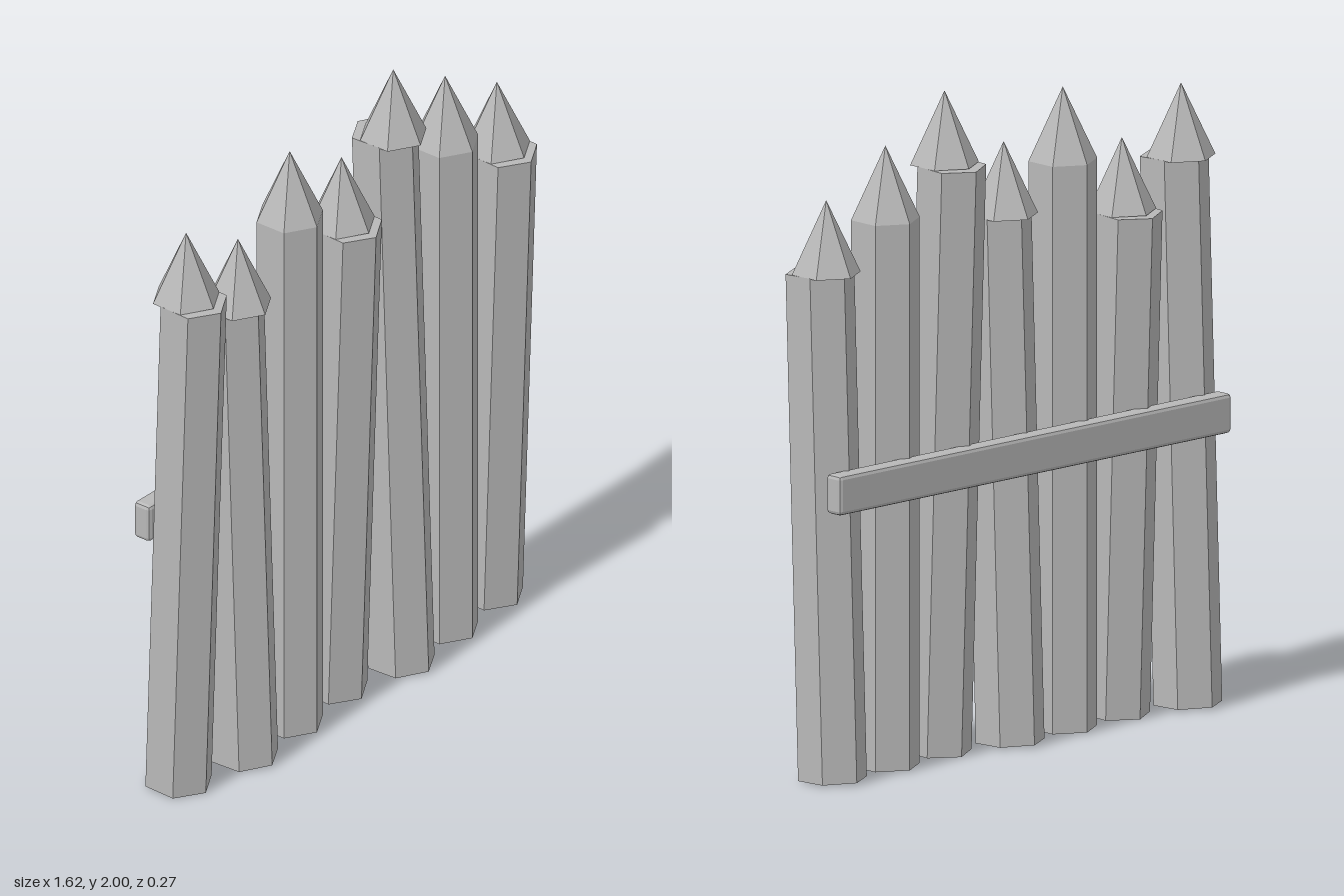
import * as THREE from 'three';
import { RoundedBoxGeometry } from 'three/addons/geometries/RoundedBoxGeometry.js';

const RADIUS = 0.104, TIP_HEIGHT = 0.22, SPACING = 0.24, LEAN = 0.035, GROUND_GAP = 0.004;

export function createModel() {
  const group = new THREE.Group();
  group.name = 'palisadeFence';
  const grey = new THREE.MeshStandardMaterial({ color: 0xb8b8b8, flatShading: true });
  grey.name = 'grey';

  const add = (name, geometry, x, y, z) => {
    const mesh = new THREE.Mesh(geometry, grey);
    mesh.name = name;
    mesh.position.set(x, y, z);
    group.add(mesh);
    return mesh;
  };

  // Six-sided stakes: each leans forward, back or not at all about its middle
  const shoulderHeights = [1.652, 1.525, 1.716, 1.589, 1.78, 1.652, 1.525];
  const leans = [1, -1, 0];
  shoulderHeights.forEach((top, i) => {
    const x = (i - 3) * SPACING;
    const length = top - GROUND_GAP;
    const stake = add('stake' + (i + 1),
      new THREE.CylinderGeometry(RADIUS, RADIUS, length, 6), x, GROUND_GAP + length / 2, 0);
    stake.rotation.x = leans[i % 3] * LEAN;

    // Upright pointed tip
    add('stakeTip' + (i + 1),
      new THREE.ConeGeometry(RADIUS, TIP_HEIGHT, 6), x, top + TIP_HEIGHT / 2, 0);
  });

  // Chamfered rail across the back
  add('rail', new RoundedBoxGeometry(1.592, 0.12, 0.06, 1, 0.012), 0, 0.885, -0.108);
  return group;
}
